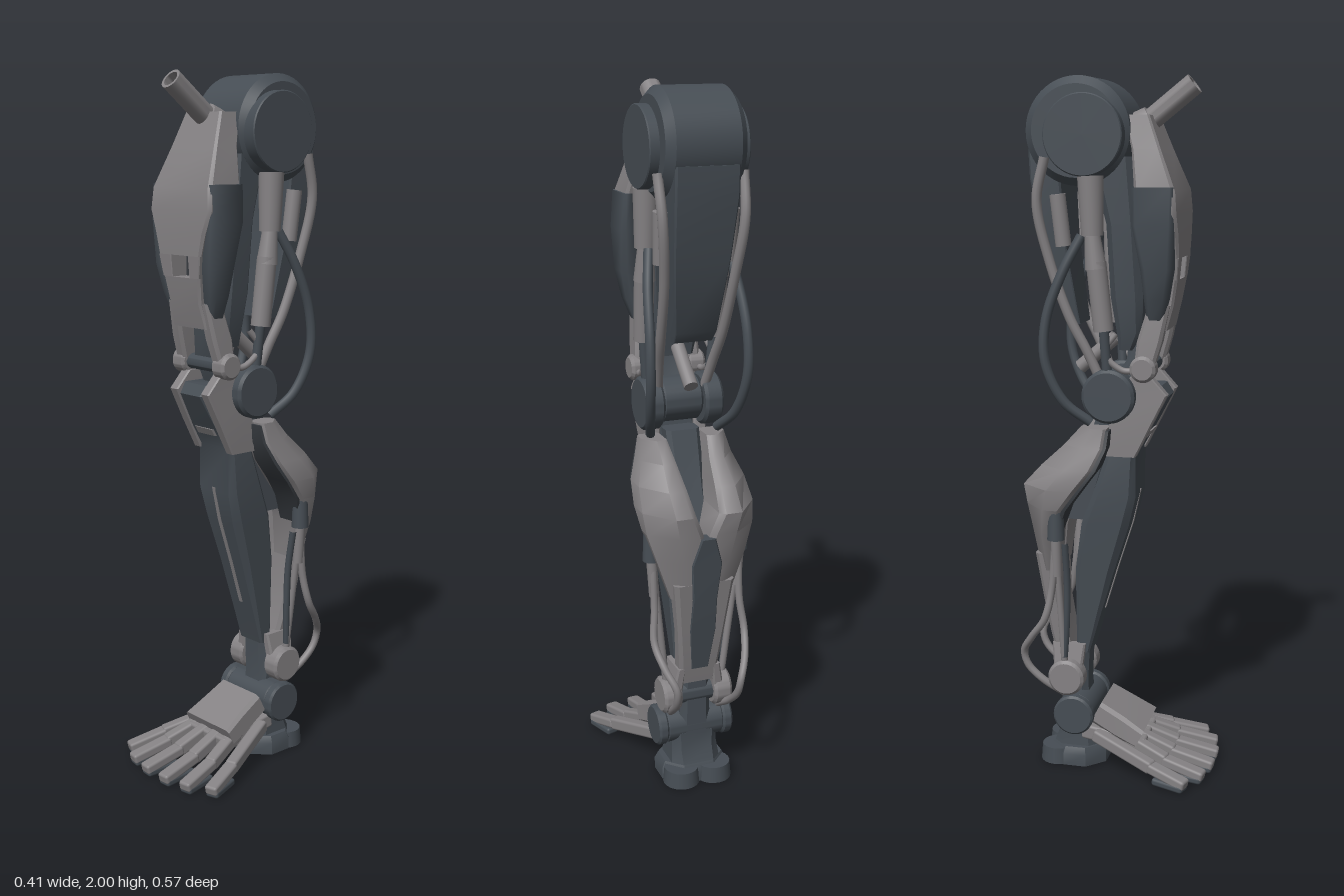
import * as THREE from 'three';
import { toCreasedNormals } from 'three/addons/utils/BufferGeometryUtils.js';
import { RoundedBoxGeometry } from 'three/addons/geometries/RoundedBoxGeometry.js';

const V = (x, y, z) => new THREE.Vector3(x, y, z);

export function createModel() {
  const root = new THREE.Group();
  const paint = (name, color) => {
    const m = new THREE.MeshStandardMaterial({ color });
    m.name = name;
    return m;
  };
  const light = paint('warm grey metal', 0x858284);
  const dark = paint('dark blue grey metal', 0x464d54);
  const black = paint('shadow grey', 0x383c41);

  const add = (name, geo, mat) => {
    const m = new THREE.Mesh(geo, mat);
    m.name = name;
    root.add(m);
    return m;
  };
  const both = (fn) => [1, -1].forEach(fn);

  // Lofted solid; each row is [y, zFront, zBack, xInner, xOuter]. Corners are cut by
  // bevel, the outer back corner further by taper; s = -1 mirrors it to the right
  const loft = (name, rows, mat, { bevel = 0.2, crease = 0.6, taper = 0, s = 1 } = {}) => {
    const rings = [...rows].sort((p, q) => p[0] - q[0]).map(([y, zf, zb, x0, x1]) => {
      const c = Math.min(x1 - x0, zf - zb) * bevel;
      const tx = taper * (x1 - x0), tz = taper * (zf - zb);
      const ring = [[x0 + c, zf], [x1 - c, zf], [x1, zf - c], [x1, zb + c + tz],
        [x1 - c - tx, zb], [x0 + c, zb], [x0, zb + c], [x0, zf - c]].map(([x, z]) => V(s * x, y, z));
      return s > 0 ? ring : ring.reverse();
    });
    const pos = [];
    const tri = (...p) => p.forEach((v) => pos.push(v.x, v.y, v.z));
    for (let i = 0; i < rings.length - 1; i++) {
      for (let j = 0; j < 8; j++) {
        const k = (j + 1) % 8, a = rings[i], b = rings[i + 1];
        tri(a[j], a[k], b[k]);
        tri(a[j], b[k], b[j]);
      }
    }
    const lo = rings[0], hi = rings[rings.length - 1];
    for (let j = 1; j < 7; j++) {
      tri(lo[0], lo[j + 1], lo[j]);
      tri(hi[0], hi[j], hi[j + 1]);
    }
    const g = new THREE.BufferGeometry();
    g.setAttribute('position', new THREE.Float32BufferAttribute(pos, 3));
    return add(name, toCreasedNormals(g, crease), mat);
  };
  // Symmetric loft; rows are [y, zFront, zBack, halfWidth]
  const centre = (name, rows, mat, bevel) =>
    loft(name, rows.map(([y, f, b, w]) => [y, f, b, -w, w]), mat, { bevel });
  const sides = (name, rows, mat, bevel, crease, taper) =>
    both((s) => loft(name, rows, mat, { bevel, crease, taper, s }));

  // Rod between two points
  const rod = (name, a, b, r, mat, r2 = r) => {
    const d = b.clone().sub(a);
    const m = add(name, new THREE.CylinderGeometry(r2, r, d.length(), 20), mat);
    m.position.copy(a).addScaledVector(d, 0.5);
    m.quaternion.setFromUnitVectors(V(0, 1, 0), d.normalize());
  };
  const cable = (name, pts, r, mat) =>
    add(name, new THREE.TubeGeometry(new THREE.CatmullRomCurve3(pts), 40, r, 10), mat);
  // Bevelled disc lying across x, from x0 to x1
  const disc = (name, x0, x1, y, z, r, mat, edge = 0.008) => {
    const h = (x1 - x0) / 2, e = Math.min(edge, h * 0.4);
    const p = [[0, -h], [r - e, -h], [r, -h + e], [r, h - e], [r - e, h], [0, h]];
    const g = new THREE.LatheGeometry(p.map(([a, b]) => new THREE.Vector2(a, b)), 48);
    const m = add(name, toCreasedNormals(g, 0.5), mat);
    m.rotation.z = -Math.PI / 2;
    m.position.set((x0 + x1) / 2, y, z);
  };
  const discs = (name, x0, x1, y, z, r, mat, edge) =>
    both((s) => disc(name, s > 0 ? x0 : -x1, s > 0 ? x1 : -x0, y, z, r, mat, edge));
  // Rounded bar between two points
  const bar = (name, a, b, w, h, mat) => {
    const m = add(name, new RoundedBoxGeometry(w, h, a.distanceTo(b) + 0.01, 2, 0.008), mat);
    m.position.copy(a).add(b).multiplyScalar(0.5);
    m.lookAt(b);
  };

  // Hip drum, side caps and mounting tube
  disc('hipShell', -0.112, 0.112, 1.848, -0.105, 0.146, dark, 0.022);
  discs('hipCap', 0.09, 0.14, 1.838, -0.08, 0.11, dark, 0.003);
  const profile = [[0.03, 0], [0.03, 0.19], [0.022, 0.19], [0.022, 0.08], [0, 0.08]];
  const socket = add('mountTube', toCreasedNormals(new THREE.LatheGeometry(
    profile.map(([a, b]) => new THREE.Vector2(a, b)), 24), 0.6), light);
  socket.position.set(0, 1.855, 0.05);
  socket.quaternion.setFromUnitVectors(V(0, 1, 0), V(0, 0.62, 0.78).normalize());
  rod('tubeCollar', V(0, 1.86, 0.05), V(0, 1.885, 0.082), 0.045, light, 0.034);

  // Thigh front plate, with a rectangular window
  centre('thighPlateUpper', [[1.89, 0.09, 0.02, 0.075], [1.8, 0.125, 0.045, 0.095],
    [1.69, 0.17, 0.058, 0.124], [1.63, 0.175, 0.07, 0.128], [1.57, 0.177, 0.08, 0.105], [1.51, 0.176, 0.1, 0.088]], light, 0.08);
  sides('thighPlateWindowSide', [[1.51, 0.176, 0.1, 0.036, 0.088], [1.45, 0.17, 0.1, 0.036, 0.076]], light, 0.05);
  centre('thighPlateLower', [[1.45, 0.17, 0.1, 0.076], [1.38, 0.158, 0.095, 0.066],
    [1.31, 0.14, 0.085, 0.072]], light, 0.1);
  centre('windowBack', [[1.53, 0.12, 0.112, 0.05], [1.43, 0.12, 0.112, 0.05]], black, 0);
  sides('thighSidePad', [[1.7, 0.165, 0.052, 0.1, 0.128], [1.6, 0.168, 0.053, 0.09, 0.135],
    [1.48, 0.165, 0.075, 0.07, 0.128], [1.4, 0.15, 0.082, 0.06, 0.112], [1.33, 0.13, 0.088, 0.055, 0.085]], dark, 0.25, 1);
  sides('thighLink', [[1.38, 0.15, 0.09, 0.045, 0.085], [1.28, 0.13, 0.06, 0.05, 0.095], [1.18, 0.1, 0.05, 0.06, 0.1]], light);

  // Thigh core and back panel
  centre('thighCore', [[1.78, 0.055, -0.08, 0.09], [1.6, 0.06, -0.03, 0.088],
    [1.4, 0.072, -0.02, 0.08], [1.3, 0.068, -0.005, 0.068], [1.25, 0.04, 0, 0.055]], dark);
  centre('thighBackPanel', [[1.8, -0.15, -0.246, 0.09], [1.72, -0.155, -0.242, 0.09],
    [1.55, -0.145, -0.208, 0.08], [1.35, -0.115, -0.162, 0.06], [1.32, -0.11, -0.14, 0.055]], dark, 0.06);

  // Thigh pistons and hoses
  both((s) => {
    const p = (x, y, z) => V(s * x, y, z);
    rod('pistonBarrel', p(0.107, 1.73, -0.065), p(0.108, 1.57, -0.06), 0.036, light, 0.03);
    rod('pistonNeck', p(0.108, 1.57, -0.06), p(0.108, 1.48, -0.05), 0.022, light, 0.03);
    rod('pistonSleeve', p(0.108, 1.5, -0.05), p(0.105, 1.31, -0.03), 0.028, light);
    rod('pistonShaft', p(0.105, 1.32, -0.03), p(0.09, 1.14, -0.02), 0.014, dark);
    rod('rearPiston', p(0.1, 1.68, -0.16), p(0.095, 1.54, -0.145), 0.022, light);
    cable('thighHose', [p(0.11, 1.57, -0.09), p(0.13, 1.47, -0.14), p(0.14, 1.34, -0.185),
      p(0.14, 1.22, -0.188), p(0.125, 1.11, -0.14), p(0.1, 1.05, -0.07)], 0.014, dark);
    cable('rearPipe', [p(0.12, 1.78, -0.19), p(0.115, 1.66, -0.215), p(0.1, 1.5, -0.185),
      p(0.09, 1.34, -0.13), p(0.08, 1.25, -0.085), p(0.07, 1.17, -0.05)], 0.014, light);
    cable('kneeHose', [p(0.09, 1.3, 0), p(0.1, 1.25, -0.03), p(0.095, 1.2, 0.02), p(0.09, 1.2, 0.07)], 0.009, light);
  });
  rod('kneeStub', V(0, 1.28, -0.02), V(0, 1.19, -0.125), 0.02, light);

  // Knee
  discs('kneePin', 0.06, 0.112, 1.205, 0.08, 0.037, light);
  disc('kneeAxle', -0.09, 0.09, 1.205, 0.08, 0.022, dark);
  disc('kneeHub', -0.06, 0.06, 1.13, -0.01, 0.065, dark);
  discs('kneeDisc', 0.06, 0.115, 1.125, -0.018, 0.076, dark);
  centre('kneeBlock', [[1.33, 0.1, 0.03, 0.045], [1.22, 0.09, 0.02, 0.05], [1.14, 0.06, -0.04, 0.05]], dark);
  sides('kneeCheek', [[1.18, 0.1, 0.04, 0.05, 0.085], [1.13, 0.145, 0, 0.05, 0.085],
    [1.04, 0.1, -0.02, 0.052, 0.088], [0.95, 0.055, -0.03, 0.055, 0.085]], light, 0.12);

  // Shin
  centre('shin', [[1.15, 0.12, 0.05, 0.055], [1.12, 0.14, 0.0, 0.058], [1.03, 0.092, -0.01, 0.065],
    [0.96, 0.052, -0.03, 0.075], [0.83, 0.052, -0.075, 0.08], [0.74, 0.03, -0.11, 0.075],
    [0.6, -0.015, -0.13, 0.065], [0.45, -0.06, -0.13, 0.055], [0.34, -0.092, -0.13, 0.048]], dark, 0.14);
  centre('shinStripe', [[0.84, 0.055, 0.045, 0.006], [0.74, 0.033, 0.02, 0.006],
    [0.6, -0.012, -0.02, 0.006], [0.47, -0.051, -0.06, 0.006]], light, 0);
  centre('shinCollar', [[1.02, 0.092, 0.07, 0.04], [1.0, 0.08, 0.06, 0.04]], light);

  // Calf: two bulging shells, narrowing to the back, over a joined lower shaft
  sides('calfShell', [[1.035, -0.02, -0.1, 0.06, 0.125], [0.98, -0.025, -0.15, 0.05, 0.136],
    [0.92, -0.05, -0.215, 0.042, 0.158], [0.86, -0.095, -0.27, 0.034, 0.165], [0.8, -0.14, -0.264, 0.01, 0.158],
    [0.72, -0.17, -0.252, 0, 0.132], [0.6, -0.18, -0.235, 0, 0.09]], light, 0.12, 0.75, 0.4);
  sides('calfFrontPad', [[1.03, -0.013, -0.022, 0.08, 0.12], [0.98, -0.018, -0.028, 0.075, 0.132],
    [0.92, -0.043, -0.055, 0.07, 0.153], [0.86, -0.088, -0.098, 0.07, 0.158], [0.8, -0.132, -0.143, 0.06, 0.152],
    [0.72, -0.163, -0.173, 0.05, 0.127]], black, 0);
  centre('calfCore', [[1.05, -0.01, -0.07, 0.05], [0.9, -0.04, -0.12, 0.05], [0.75, -0.08, -0.19, 0.05]], dark);
  centre('calfShaft', [[0.65, -0.183, -0.243, 0.09], [0.5, -0.175, -0.222, 0.072],
    [0.4, -0.155, -0.206, 0.062], [0.32, -0.135, -0.19, 0.055]], light);
  centre('calfBackPanel', [[0.79, -0.225, -0.267, 0.022], [0.71, -0.225, -0.256, 0.045], [0.6, -0.22, -0.243, 0.036],
    [0.5, -0.212, -0.227, 0.038], [0.37, -0.19, -0.204, 0.025]], dark, 0.1);

  // Calf pistons and ankle hoses
  both((s) => {
    const p = (x, y, z) => V(s * x, y, z);
    rod('calfPistonMount', p(0.133, 0.8, -0.165), p(0.133, 0.71, -0.165), 0.022, dark, 0.025);
    rod('calfPistonBarrel', p(0.133, 0.71, -0.165), p(0.125, 0.6, -0.165), 0.015, light);
    rod('calfPistonShaft', p(0.125, 0.65, -0.165), p(0.085, 0.3, -0.155), 0.01, light);
    cable('calfInnerHose', [p(0.13, 0.7, -0.14), p(0.11, 0.58, -0.14), p(0.1, 0.45, -0.145), p(0.09, 0.34, -0.155)], 0.01, dark);
    cable('ankleHose', [p(0.13, 0.68, -0.17), p(0.13, 0.56, -0.18), p(0.138, 0.47, -0.2), p(0.122, 0.405, -0.245),
      p(0.098, 0.35, -0.276), p(0.093, 0.305, -0.265), p(0.088, 0.26, -0.22), p(0.075, 0.22, -0.16)], 0.011, light);
  });

  // Ankle
  discs('ankleDisc', 0.05, 0.105, 0.275, -0.15, 0.054, light);
  disc('ankleAxle', -0.06, 0.06, 0.275, -0.15, 0.035, dark);
  sides('ankleFork', [[0.37, -0.1, -0.2, 0.04, 0.065], [0.27, -0.11, -0.19, 0.05, 0.085]], light);
  centre('anklePost', [[0.35, -0.095, -0.18, 0.045], [0.24, -0.1, -0.18, 0.045], [0.14, -0.09, -0.18, 0.05]], dark);
  disc('footPivot', -0.09, 0.09, 0.165, -0.125, 0.056, dark);
  discs('footPivotCap', 0.085, 0.115, 0.165, -0.125, 0.06, dark);

  // Heel: sole, two rear lobes and neck
  centre('heelNeck', [[0.15, -0.075, -0.18, 0.07], [0.1, -0.07, -0.18, 0.07], [0.05, -0.06, -0.2, 0.075]], dark);
  centre('heelSole', [[0.055, -0.05, -0.2, 0.09], [0.035, -0.04, -0.21, 0.1], [0, -0.04, -0.21, 0.1]], dark, 0.3);
  both((s) => rod('heelLobe', V(s * 0.05, 0, -0.185), V(s * 0.05, 0.048, -0.185), 0.054, dark, 0.05));

  // Instep and toes
  const instep = centre('instep', [[0, 0.036, -0.035, 0.085], [0.08, 0.038, -0.034, 0.09],
    [0.15, 0.03, -0.03, 0.098]], light, 0.15);
  instep.rotation.x = Math.PI / 2 + 0.47;
  instep.position.set(0, 0.168, -0.063);
  bar('footBridge', V(0, 0.105, -0.1), V(0, 0.075, 0.08), 0.17, 0.045, light);
  const toes = [
    [[0.025, 0.095, 0.04], [0.034, 0.05, 0.16], [0.042, 0.022, 0.28]],
    [[0.07, 0.095, 0.03], [0.1, 0.05, 0.15], [0.12, 0.022, 0.265]],
    [[0.085, 0.1, -0.06], [0.155, 0.05, 0.12], [0.188, 0.022, 0.225]]];
  both((s) => toes.forEach((t) => {
    const [a, b, c] = t.map(([x, y, z]) => V(s * x, y, z));
    bar('toeBase', a, b, 0.036, 0.038, light);
    bar('toeTip', b, c, 0.04, 0.03, light);
    const pad = b.clone().lerp(c, 0.15);
    bar('toePad', V(pad.x, 0.014, pad.z), V(c.x, 0.011, c.z - 0.004), 0.041, 0.022, dark);
  }));
  return root;
}
